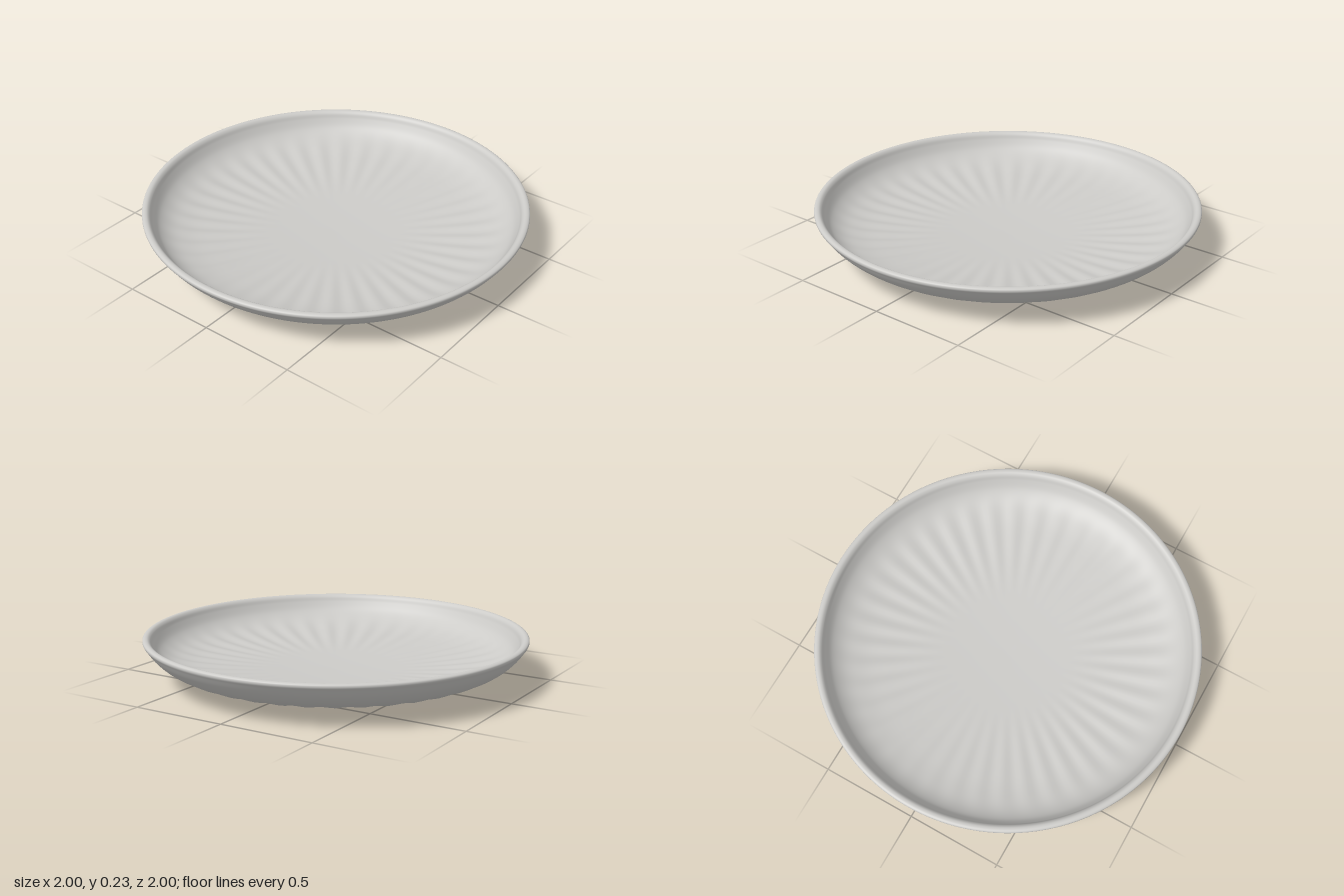
import * as THREE from 'three';
import { mergeVertices } from 'three/addons/utils/BufferGeometryUtils.js';

const FLUTES = 40;

export function createModel() {
  const group = new THREE.Group();
  group.name = 'plate';
  const ceramic = new THREE.MeshStandardMaterial({ color: 0xcccbc8 });
  ceramic.name = 'pale grey ceramic';

  // Half section: underside from the centre, round the lip, back across the inside
  const section = [
    [0, 0.003], [0.25, 0.012], [0.5, 0.028], [0.7, 0.048], [0.82, 0.073], [0.9, 0.11],
    [0.955, 0.157], [0.988, 0.2], [0.999, 0.217], [0.998, 0.228], [0.988, 0.234],
    [0.973, 0.233], [0.96, 0.222], [0.947, 0.196], [0.915, 0.15], [0.86, 0.112],
    [0.77, 0.085], [0.62, 0.065], [0.4, 0.049], [0.2, 0.04], [0, 0.036],
  ].map(([r, y]) => new THREE.Vector3(r, y, 0));
  const curve = new THREE.CatmullRomCurve3(section, false, 'centripetal');
  const profile = curve.getPoints(120).map((p) => new THREE.Vector2(Math.max(0, p.x), p.y));
  profile[0].x = profile[profile.length - 1].x = 0;
  const geometry = new THREE.LatheGeometry(profile, FLUTES * 6);

  // Shallow radial flutes that fade out towards the centre and the lip
  const pos = geometry.attributes.position;
  for (let i = 0; i < pos.count; i++) {
    const x = pos.getX(i), z = pos.getZ(i);
    const r = Math.hypot(x, z);
    const fade = THREE.MathUtils.smoothstep(r, 0.3, 0.72) * (1 - THREE.MathUtils.smoothstep(r, 0.76, 0.93));
    pos.setY(i, pos.getY(i) + 0.0035 * fade * Math.cos(FLUTES * Math.atan2(z, x)));
  }

  // Weld the seam so the shading is continuous
  geometry.deleteAttribute('uv');
  geometry.deleteAttribute('normal');
  const welded = mergeVertices(geometry, 1e-5);
  welded.computeVertexNormals();

  const dish = new THREE.Mesh(welded, ceramic);
  dish.name = 'flutedDish';
  group.add(dish);
  return group;
}
